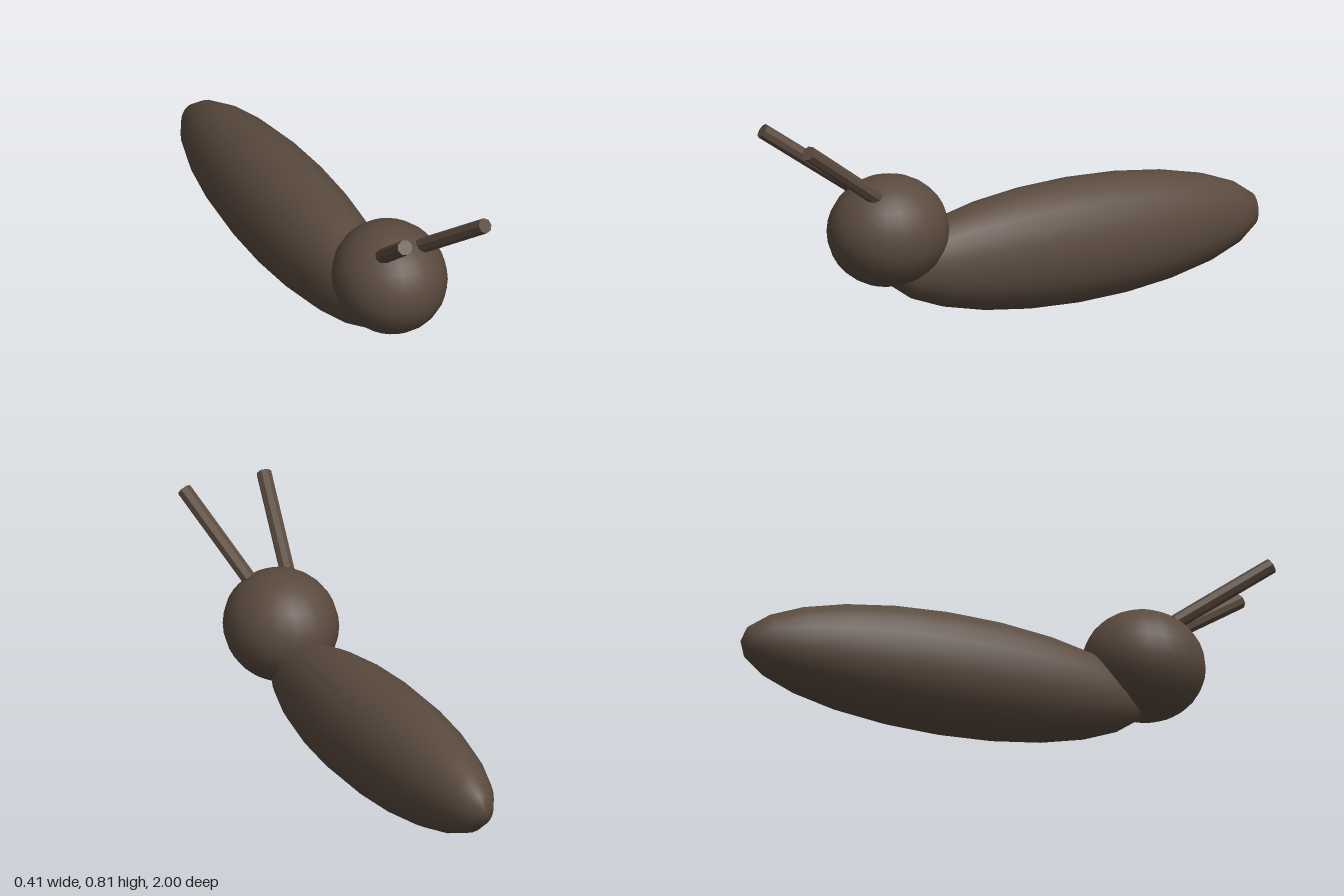
import * as THREE from 'three';

export function createModel() {
  const model = new THREE.Group();
  const brown = new THREE.MeshStandardMaterial({ color: 0x5a4a3e });
  brown.name = 'dark brown';

  function add(name, geometry) {
    const mesh = new THREE.Mesh(geometry, brown);
    mesh.name = name;
    model.add(mesh);
    return mesh;
  }

  // Long oval body, with its poles at the tail and the neck
  const body = new THREE.SphereGeometry(1, 24, 12);
  body.rotateX(Math.PI / 2).scale(0.18, 0.232, 0.78);
  add('body', body).position.set(0, 0.234, -0.22);

  // Round head, slightly longer than wide
  const head = new THREE.SphereGeometry(1, 24, 16);
  head.scale(0.205, 0.205, 0.227);
  add('head', head).position.set(0, 0.39, 0.552);

  // Eight-sided feelers leaning outward and forward
  const up = new THREE.Vector3(0, 1, 0);
  for (const side of [1, -1]) {
    const base = new THREE.Vector3(side * 0.077, 0.545, 0.645);
    const tip = new THREE.Vector3(side * 0.163, 0.788, 0.982);
    const along = tip.clone().sub(base);
    const geometry = new THREE.CylinderGeometry(0.028, 0.028, along.length(), 8).toNonIndexed();
    geometry.computeVertexNormals();
    const feeler = add(side > 0 ? 'leftFeeler' : 'rightFeeler', geometry);
    feeler.position.copy(base).add(tip).multiplyScalar(0.5);
    feeler.quaternion.setFromUnitVectors(up, along.normalize());
  }

  return model;
}
